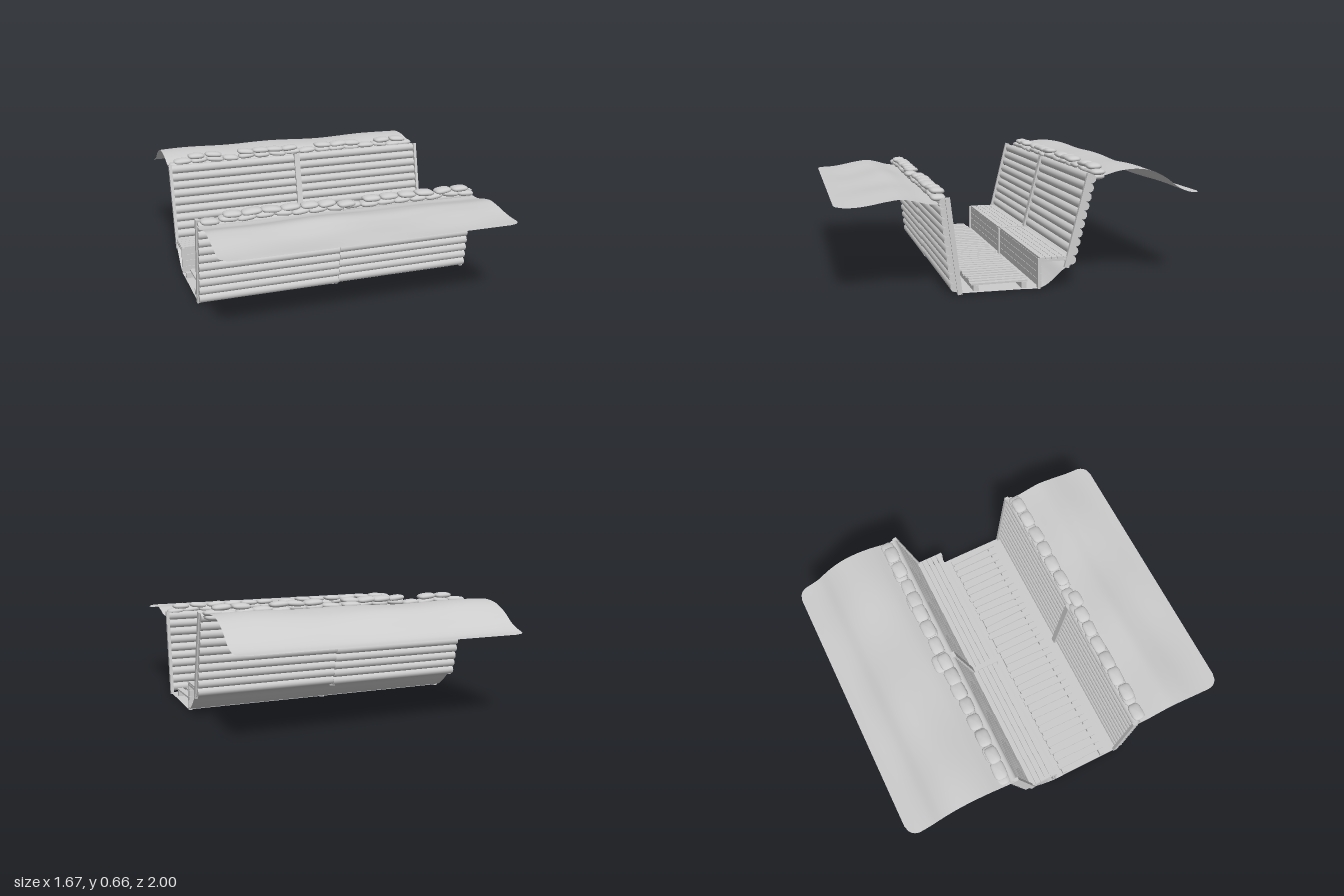
import * as THREE from 'three';

const grey = new THREE.MeshStandardMaterial({ color: 0xcccccc });
const sheetMat = new THREE.MeshStandardMaterial({ color: 0xcccccc, side: THREE.DoubleSide });

let seed = 7;
const rnd = () => (seed = (seed * 16807) % 2147483647) / 2147483647;
const jitter = (a) => (rnd() - 0.5) * 2 * a;

function add(parent, name, geometry, x, y, z, material = grey) {
  const mesh = new THREE.Mesh(geometry, material);
  mesh.name = name;
  mesh.position.set(x, y, z);
  parent.add(mesh);
  return mesh;
}

function group(parent, name) {
  const g = new THREE.Group();
  g.name = name;
  parent.add(g);
  return g;
}

// Earth surface: a [z, y] profile (z ascending) swept along x, outer corners rounded
function sheet(parent, name, profile, bump, round) {
  const curve = new THREE.CatmullRomCurve3(profile.map(([z, y]) => new THREE.Vector3(0, y, z)));
  const geo = new THREE.PlaneGeometry(2, 1, 48, 60).rotateX(-Math.PI / 2);
  const p = geo.attributes.position;
  const r = 0.07;
  for (let i = 0; i < p.count; i++) {
    const t = p.getZ(i) + 0.5;
    const c = curve.getPoint(THREE.MathUtils.clamp(t, 0, 1));
    const d = round ? Math.max(0, Math.abs(c.z) - (1 - r)) : 0;
    const x = p.getX(i) * (0.83 - r + Math.sqrt(Math.max(0, r * r - d * d)));
    const wave = Math.sin(x * 7 + c.z * 5) * Math.sin(x * 3 - c.z * 9 + 1);
    p.setXYZ(i, x, c.y + bump * wave * Math.sin(Math.PI * t), c.z);
  }
  geo.computeVertexNormals();
  return add(parent, name, geo, 0, 0, 0, sheetMat);
}

// Sandbag: a sphere squared off in plan
const bagGeo = new THREE.SphereGeometry(1, 20, 14);
{
  const p = bagGeo.attributes.position;
  for (let i = 0; i < p.count; i++) {
    const x = p.getX(i), y = p.getY(i), z = p.getZ(i);
    const k = Math.hypot(x, z) / (Math.pow(x ** 4 + z ** 4, 0.25) || 1);
    p.setXYZ(i, x * k, Math.sign(y) * Math.pow(Math.abs(y), 0.85), z * k);
  }
  bagGeo.computeVertexNormals();
}

function bag(parent, x, y, z) {
  const b = add(parent, 'sandbag', bagGeo, x, y, z);
  b.scale.set(0.053 + jitter(0.004), 0.018, 0.038 + jitter(0.002));
  b.rotation.set(jitter(0.05), jitter(0.06), jitter(0.12));
}

// Leaning log wall in two halves, with posts on its inner face
function logWall(parent, name, from, to, rows, inward) {
  const wall = group(parent, name);
  const log = new THREE.CylinderGeometry(0.025, 0.025, 0.825, 14).rotateZ(Math.PI / 2);
  for (const side of [-1, 1]) {
    for (let i = 0; i < rows; i++) {
      const t = i / (rows - 1);
      add(wall, 'log', log, side * 0.413,
        THREE.MathUtils.lerp(from[1], to[1], t) + side * 0.003,
        THREE.MathUtils.lerp(from[0], to[0], t));
    }
  }
  const dz = to[0] - from[0], dy = to[1] - from[1];
  for (const [x, w] of [[-0.825, 0.018], [-0.01, 0.035], [0.825, 0.018]]) {
    const post = add(wall, 'wallPost', new THREE.BoxGeometry(w, Math.hypot(dz, dy) + 0.07, 0.026),
      x, (from[1] + to[1]) / 2 - 0.002, (from[0] + to[0]) / 2 + inward * 0.022);
    post.rotation.x = Math.atan2(dz, dy);
  }
}

// Parapet of sandbags: full lower rows and a broken top row
function parapet(parent, name, y, z, layers, topBags) {
  const g = group(parent, name);
  for (let l = 0; l < layers; l++) {
    for (let i = 0; i < 16; i++) {
      bag(g, -0.765 + i * 0.102 + (l % 2 ? 0.03 : 0) * (i < 15 ? 1 : 0), y + l * 0.023 + jitter(0.004), z + jitter(0.005));
    }
  }
  for (const x of topBags) bag(g, x, y + layers * 0.025, z + jitter(0.005));
}

export function createModel() {
  const model = new THREE.Group();
  model.name = 'trench';

  // Earth banks and trench floor
  sheet(model, 'frontBank', [[0.44, 0.48], [0.52, 0.485], [0.6, 0.505], [0.66, 0.513], [0.74, 0.503], [0.83, 0.49], [0.92, 0.483], [1, 0.482]], 0.01, true);
  sheet(model, 'backBank', [[-1, 0.485], [-0.93, 0.492], [-0.86, 0.522], [-0.78, 0.58], [-0.7, 0.615], [-0.6, 0.627], [-0.5, 0.62], [-0.42, 0.6], [-0.35, 0.585]], 0.008, true);
  sheet(model, 'trenchFloor', [[-0.24, 0.12], [-0.2, 0.1], [-0.15, 0.055], [-0.1, 0.018], [-0.06, 0.005], [0.05, 0.005], [0.2, 0.005], [0.38, 0.005]], 0, false);

  // Log walls
  logWall(model, 'frontWall', [0.392, 0.035], [0.447, 0.478], 10, -1);
  logWall(model, 'backWall', [-0.247, 0.143], [-0.352, 0.578], 10, 1);

  // Sandbags
  parapet(model, 'frontParapet', 0.512, 0.468, 1, [-0.64, -0.53, -0.42, -0.31, -0.2, -0.1, 0.17, 0.28, 0.39, 0.5, 0.62, 0.73]);
  parapet(model, 'backParapet', 0.588, -0.4, 2, [-0.65, -0.54, -0.33, -0.23, -0.14, -0.04, 0.19, 0.3, 0.39, 0.61, 0.72]);
  bag(model, 0.01, 0.528, 0.49);
  bag(model, -0.03, 0.618, -0.43);

  // Fire step: tread and riser boards in two halves, with supports
  const step = group(model, 'fireStep');
  for (const side of [-1, 1]) {
    for (let i = 0; i < 5; i++) {
      add(step, 'treadBoard', new THREE.BoxGeometry(0.825, 0.012, 0.031), side * 0.415, 0.162 + side * 0.001, -0.084 - i * 0.033);
    }
    for (let i = 0; i < 4; i++) {
      add(step, 'riserBoard', new THREE.BoxGeometry(0.825, 0.036, 0.01), side * 0.415, 0.024 + i * 0.038, -0.073);
    }
  }
  for (const [x, w] of [[-0.82, 0.02], [-0.01, 0.03], [0.82, 0.02]]) {
    add(step, 'stepPost', new THREE.BoxGeometry(w, 0.165, 0.014), x, 0.0825, -0.064);
    add(step, 'stepBeam', new THREE.BoxGeometry(w, 0.012, 0.165), x, 0.153, -0.148);
  }
  add(step, 'centreStrip', new THREE.BoxGeometry(0.03, 0.006, 0.165), -0.01, 0.17, -0.148);

  // Duckboard: two rails under uneven slats
  const duckboard = group(model, 'duckboard');
  for (const z of [0.013, 0.275]) {
    add(duckboard, 'rail', new THREE.BoxGeometry(1.63, 0.036, 0.028), -0.008, 0.018, z);
  }
  for (let i = 0; i < 32; i++) {
    const slat = add(duckboard, 'slat', new THREE.BoxGeometry(0.034 + jitter(0.003), 0.01, 0.31 + jitter(0.012)),
      -0.775 + i * 0.0503, 0.041, 0.143 + jitter(0.006));
    slat.rotation.y = jitter(0.035);
  }
  return model;
}
